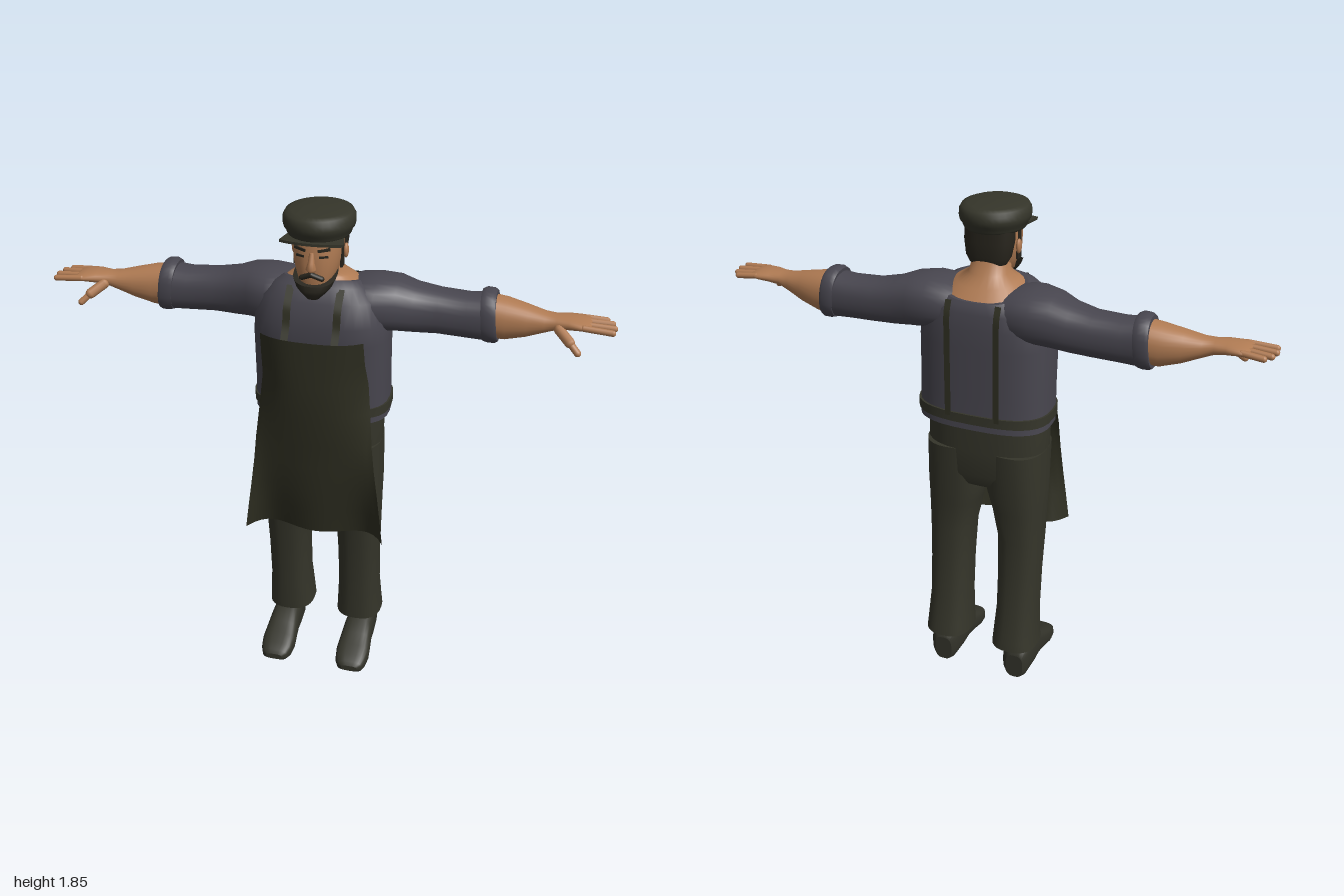
import * as THREE from 'three';

const paint = (name, color, side = THREE.FrontSide) => {
  const m = new THREE.MeshStandardMaterial({ color, side });
  m.name = name;
  return m;
};

// Skin over superellipse rings [t, a0, a1, b0, b1, tilt]; t runs along the given axis.
// axis y: a = x, b = z.  axis x: a = z, b = y.  axis z: a = y, b = x.
function loft(rings, axis = 'y', power = 2.4, n = 28) {
  const pos = [], index = [];
  const put = (a, t, b) => pos.push(...(axis === 'y' ? [a, t, b] : axis === 'x' ? [t, b, a] : [b, a, t]));
  const ringOf = ([t, a0, a1, b0, b1, tilt = 0]) => {
    for (let i = 0; i < n; i++) {
      const w = (i / n) * Math.PI * 2, c = Math.cos(w), s = Math.sin(w);
      const b = Math.sign(s) * Math.abs(s) ** (2 / power) * (b1 - b0) / 2;
      const a = (a0 + a1) / 2 + Math.sign(c) * Math.abs(c) ** (2 / power) * (a1 - a0) / 2;
      put(a, t + tilt * b, (b0 + b1) / 2 + b);
    }
  };
  rings.forEach(ringOf);
  for (let j = 0; j < rings.length - 1; j++) {
    for (let i = 0; i < n; i++) {
      const k = (i + 1) % n, p = j * n, q = p + n;
      index.push(p + i, q + i, p + k, p + k, q + i, q + k);
    }
  }
  // end caps
  [rings[0], rings[rings.length - 1]].forEach((r, top) => {
    const s = pos.length / 3;
    ringOf(r);
    put((r[1] + r[2]) / 2, r[0], (r[3] + r[4]) / 2);
    for (let i = 0; i < n; i++) {
      const k = (i + 1) % n;
      index.push(s + n, s + (top ? k : i), s + (top ? i : k));
    }
  });
  const g = new THREE.BufferGeometry();
  g.setAttribute('position', new THREE.Float32BufferAttribute(pos, 3));
  g.setIndex(index);
  g.computeVertexNormals();
  return g;
}

// Rounded rod between two points
function rod(p, q, r) {
  const a = new THREE.Vector3(...p), b = new THREE.Vector3(...q), d = b.clone().sub(a);
  const g = new THREE.CapsuleGeometry(r, d.length(), 4, 10);
  g.applyQuaternion(new THREE.Quaternion().setFromUnitVectors(new THREE.Vector3(0, 1, 0), d.normalize()));
  return g.translate(...a.add(b).multiplyScalar(0.5).toArray());
}

// Flat strap of a given width following [z, y] points
function ribbon(x, width, pts) {
  const curve = new THREE.CatmullRomCurve3(pts.map(([z, y]) => new THREE.Vector3(x, y, z)));
  const n = 20, g = new THREE.PlaneGeometry(width, 1, 1, n), p = g.attributes.position;
  for (let i = 0; i < p.count; i++) {
    const c = curve.getPoint(Math.floor(i / 2) / n);
    p.setXYZ(i, x + p.getX(i), c.y, c.z);
  }
  g.computeVertexNormals();
  return g;
}

// Draped sheet; rows are [y, half width, z at centre, z at 0.65 across, z at edge]
function drape(rows) {
  const g = new THREE.PlaneGeometry(2, 1, 24, rows.length - 1), p = g.attributes.position;
  for (let i = 0; i < p.count; i++) {
    const [y, w, c, m, e] = rows[Math.floor(i / 25)], u = p.getX(i), q = u * u, k = 0.42;
    const z = c * (q - k) * (q - 1) / k + m * q * (q - 1) / (k * (k - 1)) + e * q * (q - k) / (1 - k);
    p.setXYZ(i, u * w, y, z);
  }
  g.computeVertexNormals();
  return g;
}

export function createModel() {
  const model = new THREE.Group();
  const skin = paint('skin', 0xb07b53), shirt = paint('shirt grey', 0x48464f);
  const cloth = paint('trouser cloth', 0x35352a), leather = paint('shoe leather', 0x33332a);
  const apronMat = paint('apron cloth', 0x2e2e21, THREE.DoubleSide);
  const hair = paint('hair', 0x28251d);
  const add = (parent, name, geo, mat) => {
    const m = new THREE.Mesh(geo, mat);
    m.name = name;
    parent.add(m);
    return m;
  };

  // Shirt body, belt and neck
  add(model, 'shirtBody', loft([
    [1.075, -.243, .243, -.187, .11], [1.2, -.24, .24, -.185, .12], [1.38, -.24, .24, -.186, .135],
    [1.45, -.235, .235, -.183, .14], [1.52, -.21, .21, -.178, .125, .1], [1.555, -.17, .17, -.168, .09, .2],
    [1.57, -.138, .138, -.16, .06, .25],
  ], 'y', 2.8, 36), shirt);
  add(model, 'belt', loft([[1.1, -.248, .248, -.193, .116], [1.135, -.248, .248, -.193, .118]], 'y', 2.8, 36), cloth);
  add(model, 'neck', loft([
    [1.565, -.138, .138, -.16, .06, .25], [1.59, -.105, .105, -.125, .05, .15],
    [1.612, -.07, .07, -.09, .055], [1.67, -.06, .06, -.068, .055],
  ]), skin);

  // Apron with straps in front and behind
  add(model, 'apron', drape([
    [1.42, .18, .195, .183, .15], [1.33, .183, .192, .175, .13], [1.24, .19, .188, .162, .095],
    [1.13, .2, .182, .155, .105], [1, .212, .16, .145, .125], [.9, .222, .148, .13, .125],
    [.8, .235, .135, .115, .125], [.7, .248, .118, .087, .128], [.6, .26, .1, .06, .132],
  ]), apronMat);
  for (const s of [-1, 1]) {
    add(model, 'frontStrap', ribbon(s * .087, .026, [[.186, 1.41], [.155, 1.46], [.137, 1.52], [.085, 1.578]]), apronMat);
    add(model, 'backStrap', ribbon(s * .09, .022, [[-.168, 1.545], [-.186, 1.5], [-.189, 1.42], [-.19, 1.3], [-.19, 1.12]]), apronMat);
  }

  // Trouser seat
  add(model, 'trouserSeat', loft([
    [.82, -.19, .19, -.13, .07], [.87, -.215, .215, -.15, .09], [.97, -.224, .224, -.157, .11],
    [1.1, -.222, .222, -.155, .112],
  ], 'y', 2.6), cloth);

  // Limbs, mirrored
  for (const s of [1, -1]) {
    const side = new THREE.Group();
    side.name = s > 0 ? 'leftLimbs' : 'rightLimbs';
    side.scale.x = s;
    model.add(side);

    add(side, 'sleeve', loft([
      [.08, -.155, .06, 1.42, 1.565], [.13, -.17, .075, 1.405, 1.583], [.19, -.176, .075, 1.4, 1.588],
      [.26, -.17, .045, 1.397, 1.582], [.32, -.16, .02, 1.392, 1.56], [.4, -.155, 0, 1.39, 1.545],
      [.5, -.15, 0, 1.386, 1.54], [.58, -.15, 0, 1.382, 1.548],
    ], 'x'), shirt);
    add(side, 'sleeveCuff', loft([
      [.55, -.153, .003, 1.38, 1.556, -.1], [.565, -.157, .006, 1.376, 1.564, -.1],
      [.59, -.156, .005, 1.376, 1.562, -.1], [.6, -.15, 0, 1.382, 1.556, -.1],
    ], 'x'), shirt);
    add(side, 'forearm', loft([
      [.57, -.145, -.005, 1.392, 1.545], [.63, -.142, -.006, 1.392, 1.537], [.7, -.122, -.01, 1.412, 1.522],
      [.76, -.102, -.014, 1.437, 1.508], [.8, -.093, -.014, 1.453, 1.505], [.84, -.102, -.002, 1.462, 1.507],
      [.88, -.108, .008, 1.468, 1.503], [.905, -.104, .008, 1.472, 1.498], [.915, -.095, 0, 1.478, 1.492],
    ], 'x', 2.2), skin);
    const fingers = [[-.094, .962, -.1], [-.064, .982, -.073], [-.032, .99, -.036], [-.002, .985, .001]];
    for (const [z0, x1, z1] of fingers) add(side, 'finger', rod([.89, 1.486, z0], [x1, 1.48, z1], .011), skin);
    add(side, 'thumb', rod([.81, 1.468, -.015], [.85, 1.44, .02], .018), skin);
    add(side, 'thumbTip', rod([.85, 1.44, .02], [.88, 1.412, .038], .012), skin);

    add(side, 'trouserLeg', loft([
      [.145, .05, .225, -.186, .01], [.18, .052, .222, -.18, .012], [.3, .059, .215, -.155, .018],
      [.45, .058, .216, -.14, .03], [.6, .053, .22, -.132, .05], [.72, .028, .223, -.138, .07],
      [.8, .006, .225, -.148, .085], [.97, .004, .224, -.157, .108],
    ], 'y', 2.5), cloth);
    add(side, 'ankle', loft([[.08, .1, .2, -.13, 0], [.2, .105, .195, -.13, -.02]]), leather);
    add(side, 'shoe', loft([
      [-.145, 0, .1, .115, .185], [-.132, 0, .135, .1, .2], [-.05, .002, .142, .095, .205],
      [0, .012, .135, .093, .206], [.05, .01, .108, .089, .211], [.1, .002, .085, .085, .215],
      [.14, 0, .067, .09, .21], [.165, .005, .052, .102, .2], [.176, .015, .038, .12, .183],
    ], 'z', 3), leather);
  }

  // Head
  const head = new THREE.Group();
  head.name = 'head';
  model.add(head);
  add(head, 'face', loft([
    [1.575, -.03, .03, .07, .13], [1.6, -.055, .055, 0, .138], [1.64, -.07, .07, -.05, .142],
    [1.68, -.08, .08, -.065, .145], [1.72, -.083, .083, -.07, .142], [1.77, -.083, .083, -.07, .138],
  ]), skin);
  add(head, 'nose', loft([
    [1.658, -.013, .013, .13, .156], [1.668, -.018, .018, .13, .167], [1.69, -.011, .011, .13, .159],
    [1.722, -.008, .008, .13, .147],
  ], 'y', 2, 14), skin);
  add(head, 'hair', loft([
    [1.645, -.066, .066, -.068, 0], [1.67, -.08, .08, -.077, .015], [1.72, -.088, .088, -.078, .03],
    [1.77, -.088, .088, -.078, .04],
  ]), hair);
  add(head, 'beard', loft([
    [1.556, -.022, .022, .09, .14], [1.575, -.043, .043, .06, .151], [1.6, -.062, .062, .035, .154, -.2],
    [1.632, -.075, .075, .015, .15, -.4],
  ]), hair);
  for (const s of [-1, 1]) {
    const sideburn = add(head, 'sideburn', new THREE.BoxGeometry(.008, .12, .03), hair);
    sideburn.position.set(s * .08, 1.705, .04);
    const ear = add(head, 'ear', new THREE.SphereGeometry(1, 14, 10), skin);
    ear.scale.set(.009, .026, .016);
    ear.position.set(s * .089, 1.695, .02);
    add(head, 'moustache', rod([0, 1.648, .147], [s * .034, 1.633, .139], .009), hair);
    const brow = add(head, 'eyebrow', new THREE.BoxGeometry(.042, .009, .009), hair);
    brow.position.set(s * .04, 1.731, .132);
    brow.rotation.set(0, s * .35, s * .12);
    const eye = add(head, 'eye', new THREE.BoxGeometry(.03, .007, .009), hair);
    eye.position.set(s * .039, 1.708, .133);
    eye.rotation.y = s * .35;
  }

  // Flat cap with a short peak
  const profile = [[0, 1.757], [.104, 1.757], [.109, 1.765], [.111, 1.775], [.119, 1.785], [.122, 1.8],
    [.121, 1.818], [.113, 1.832], [.095, 1.839], [.05, 1.844], [0, 1.845]];
  const cap = add(head, 'cap', new THREE.LatheGeometry(profile.map((p) => new THREE.Vector2(...p)), 36), cloth);
  cap.scale.z = 1.11;
  cap.position.z = .029;
  const peak = new THREE.Shape();
  peak.moveTo(-.09, -.05);
  peak.lineTo(-.108, -.145);
  peak.quadraticCurveTo(0, -.18, .108, -.145);
  peak.lineTo(.09, -.05);
  const peakGeo = new THREE.ExtrudeGeometry(peak, { depth: .009, bevelEnabled: false, curveSegments: 10 });
  add(head, 'capPeak', peakGeo.rotateX(-Math.PI / 2).translate(0, 1.752, 0), cloth);
  return model;
}
